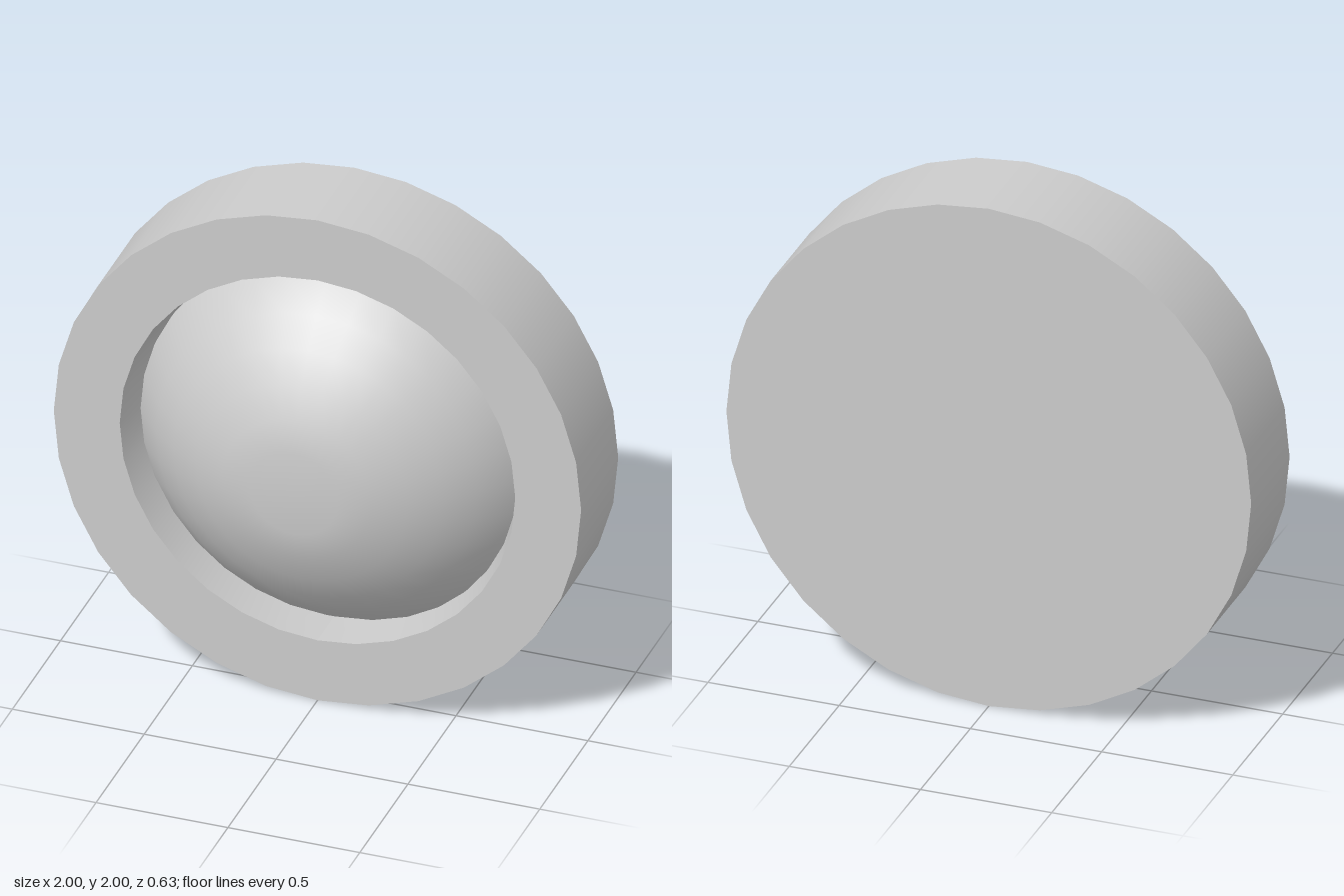
import * as THREE from 'three';

const SIDES = 32;
const BACK = -0.315, FRONT = 0.07;   // z of the housing faces
const R_OUT = 1, R_IN = 0.75;
const WALL_END = -0.105;             // z where the recess meets the dome

export function createModel() {
  const group = new THREE.Group();
  group.name = 'domeLamp';
  const solid = new THREE.MeshStandardMaterial({ color: 0xcccccc });
  const open = new THREE.MeshStandardMaterial({ color: 0xcccccc, side: THREE.DoubleSide });

  const add = (name, geometry, material = solid) => {
    const mesh = new THREE.Mesh(geometry, material);
    mesh.name = name;
    mesh.position.y = 1;
    group.add(mesh);
  };

  // Round housing: outer side, closed back and flat front ring
  add('housingSide', new THREE.CylinderGeometry(R_OUT, R_OUT, FRONT - BACK, SIDES, 1, true)
    .rotateX(Math.PI / 2).translate(0, 0, (FRONT + BACK) / 2));
  add('housingBack', new THREE.CircleGeometry(R_OUT, SIDES).rotateY(Math.PI).translate(0, 0, BACK));
  add('frontRing', new THREE.RingGeometry(R_IN, R_OUT, SIDES).translate(0, 0, FRONT));

  // Recess wall, narrowing sideways towards its inner end
  const wall = new THREE.CylinderGeometry(R_IN, R_IN, FRONT - WALL_END, SIDES, 1, true)
    .rotateX(Math.PI / 2).translate(0, 0, (FRONT + WALL_END) / 2);
  const p = wall.attributes.position;
  for (let i = 0; i < p.count; i++) {
    if (p.getZ(i) < 0) p.setX(i, p.getX(i) * 0.933);
  }
  wall.computeVertexNormals();
  add('recessWall', wall, open);

  // Shallow spherical dome with a small flat crown
  const radius = 0.86, centre = -0.526;
  const profile = [61, 53.5, 45, 36.4, 27.8, 19.2, 11.2].map((deg) => {
    const a = THREE.MathUtils.degToRad(deg);
    return new THREE.Vector2(radius * Math.sin(a), centre + radius * Math.cos(a));
  });
  profile.push(new THREE.Vector2(0, profile.at(-1).y));
  add('dome', new THREE.LatheGeometry(profile, SIDES).rotateX(Math.PI / 2), open);

  return group;
}
